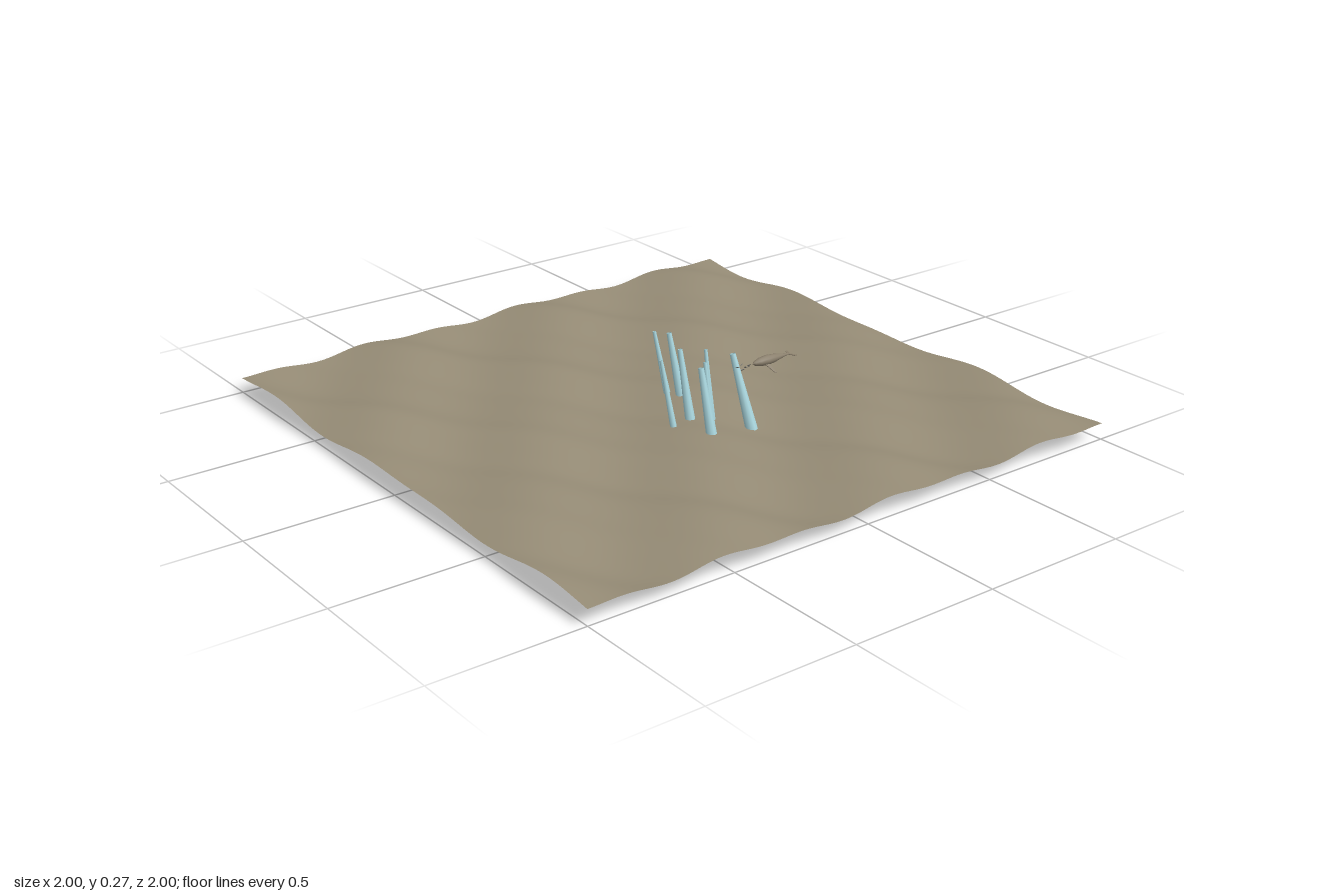
import * as THREE from 'three';

const mat = (name, color) => {
  const m = new THREE.MeshStandardMaterial({ color, side: THREE.DoubleSide });
  m.name = name;
  return m;
};

export function createModel() {
  const root = new THREE.Group();
  const sand = mat('sand', 0x968c76);
  const light = mat('paleBlue', 0xa9d6de);
  const skin = mat('greyBrown', 0x8a7f6c);
  const dark = mat('darkGrey', 0x4a4a46);

  const add = (parent, name, geometry, material) => {
    const mesh = new THREE.Mesh(geometry, material);
    mesh.name = name;
    parent.add(mesh);
    return mesh;
  };

  // Rippled sea floor: broad swells crossed by fine diagonal ridges
  const floor = new THREE.PlaneGeometry(2, 2, 100, 100).rotateX(-Math.PI / 2);
  const p = floor.attributes.position;
  for (let i = 0; i < p.count; i++) {
    const x = p.getX(i), z = p.getZ(i);
    p.setY(i, 0.053 + 0.02 * Math.sin(10 * x) * Math.cos(7.5 * z) + 0.006 * Math.sin(20 * x - 12.5 * z));
  }
  floor.computeVertexNormals();
  add(root, 'seaFloor', floor, sand);

  // Leaning tapered shafts: top x, top z, bottom x, bottom z, bottom radius
  const shafts = new THREE.Group();
  shafts.name = 'shafts';
  root.add(shafts);
  const up = new THREE.Vector3(0, 1, 0);
  [
    [0.02, -0.06, 0.045, -0.005, 0.013],
    [0.05, -0.02, 0.065, 0.04, 0.018],
    [-0.01, 0.115, -0.01, 0.18, 0.018],
    [-0.115, 0.155, -0.1, 0.215, 0.012],
    [0.055, 0.165, 0.045, 0.22, 0.012],
    [-0.055, 0.28, -0.05, 0.345, 0.02],
    [-0.015, 0.25, -0.02, 0.305, 0.013],
    [0.1, 0.245, 0.125, 0.325, 0.021],
  ].forEach(([tx, tz, bx, bz, r]) => {
    const top = new THREE.Vector3(tx, 0.27, tz);
    const bottom = new THREE.Vector3(bx, 0.006, bz);
    const axis = top.clone().sub(bottom);
    const shaft = add(shafts, 'shaft', new THREE.CylinderGeometry(r * 0.45, r, axis.length(), 8, 1, true), light);
    shaft.position.copy(top).add(bottom).multiplyScalar(0.5);
    shaft.quaternion.setFromUnitVectors(up, axis.normalize());
  });

  // Swimmer, head toward -x
  const swimmer = new THREE.Group();
  swimmer.name = 'swimmer';
  swimmer.position.set(0.3, 0.19, 0.2);
  root.add(swimmer);
  const profile = [[0, -0.08], [0.008, -0.07], [0.014, -0.05], [0.017, -0.02], [0.014, 0.01], [0.008, 0.04], [0.003, 0.068], [0, 0.08]]
    .map(([r, y]) => new THREE.Vector2(r, y));
  add(swimmer, 'body', new THREE.LatheGeometry(profile, 12).rotateZ(-Math.PI / 2), skin);

  // Flat fin drawn in x and z
  const plate = (points) => new THREE.ExtrudeGeometry(
    new THREE.Shape(points.map(([x, z]) => new THREE.Vector2(x, z))),
    { depth: 0.002, bevelEnabled: false },
  ).rotateX(Math.PI / 2);
  for (const s of [1, -1]) {
    const fin = add(swimmer, 'sideFin', plate([[-0.035, 0], [-0.018, 0], [-0.013, 0.043 * s], [-0.018, 0.043 * s]]), skin);
    fin.position.set(0, -0.007, 0.009 * s);
    fin.rotation.x = 0.6 * s;
    add(swimmer, 'tailFluke', plate([[0.068, 0], [0.078, 0], [0.088, 0.024 * s], [0.08, 0.024 * s]]), skin);
  }

  // Small school of slender fish
  const school = new THREE.Group();
  school.name = 'fishSchool';
  root.add(school);
  [
    [0.088, 0.238, 0.285], [0.1, 0.231, 0.295], [0.108, 0.241, 0.28],
    [0.116, 0.234, 0.29], [0.126, 0.24, 0.295], [0.134, 0.232, 0.285],
  ].forEach(([x, y, z], i) => {
    const fish = add(school, 'smallFish', new THREE.OctahedronGeometry(1), dark);
    fish.scale.set(0.009, 0.0022, 0.002);
    fish.position.set(x, y, z);
    fish.rotation.z = (i % 3 - 1) * 0.35;
  });

  return root;
}
